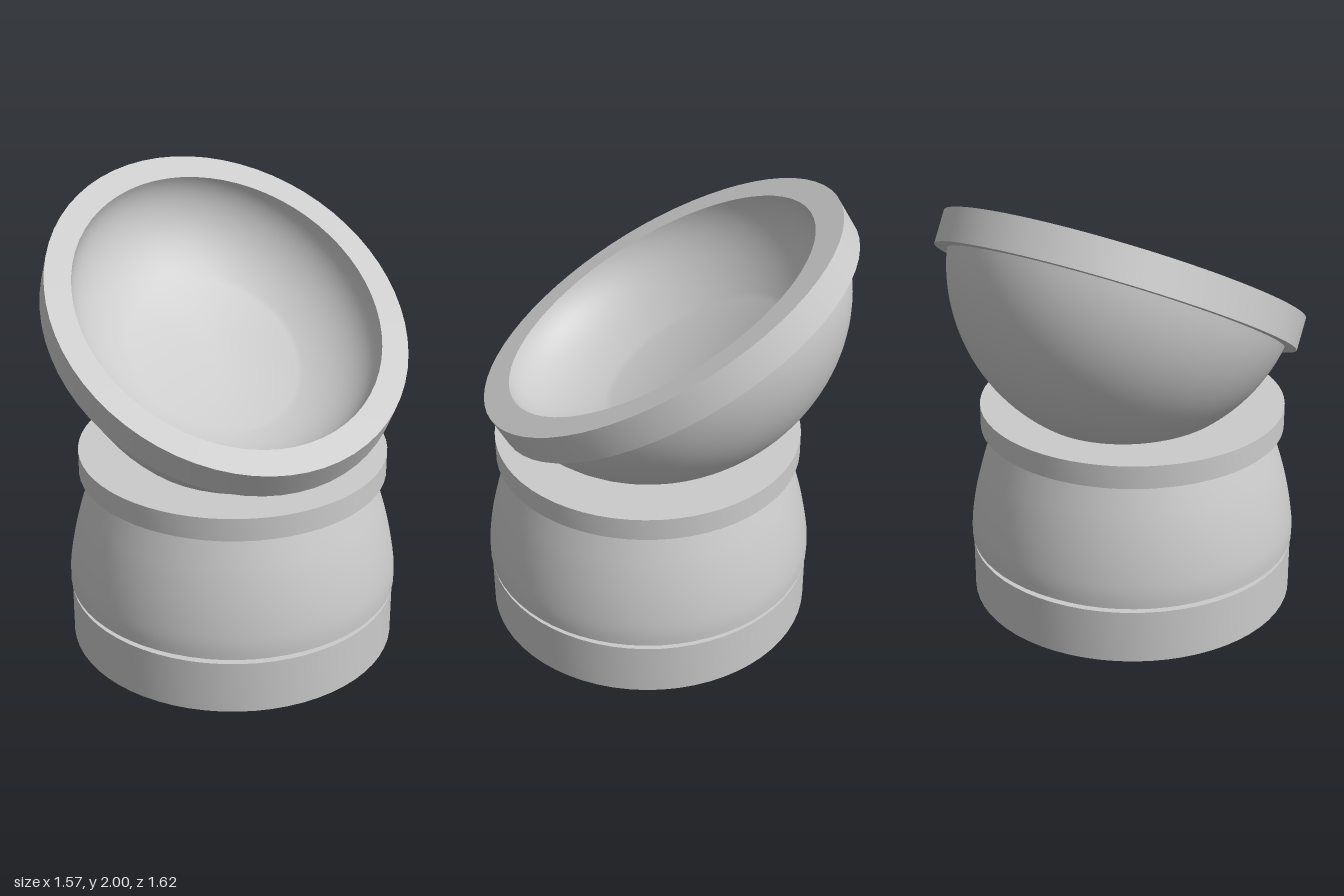
import * as THREE from 'three';
import { toCreasedNormals } from 'three/addons/utils/BufferGeometryUtils.js';

const material = new THREE.MeshStandardMaterial({ color: 0xcccccc });

// Turned part from [radius, height] points, listed bottom to top on the outside
function turned(name, points) {
  const profile = points.map(([r, y]) => new THREE.Vector2(Math.max(r, 0), y));
  const geometry = toCreasedNormals(new THREE.LatheGeometry(profile, 64), 0.6);
  const mesh = new THREE.Mesh(geometry, material);
  mesh.name = name;
  return mesh;
}

// Points on an elliptical arc below y = 0, between two depths
function arc(radius, depth, from, to, steps) {
  const a0 = Math.asin(from / depth), a1 = Math.asin(to / depth);
  return Array.from({ length: steps + 1 }, (_, i) => {
    const a = a0 + (a1 - a0) * i / steps;
    return [radius * Math.cos(a), -depth * Math.sin(a)];
  });
}

export function createModel() {
  const model = new THREE.Group();
  model.name = 'tiltedBowlOnPedestal';

  // Pedestal: foot, recessed groove, bulging body and collar
  const pedestal = new THREE.Group();
  pedestal.name = 'pedestal';
  pedestal.position.z = 0.07;
  const bulge = new THREE.SplineCurve([
    [0.74, 0.27], [0.738, 0.35], [0.717, 0.48], [0.685, 0.61], [0.65, 0.72], [0.615, 0.82],
  ].map(([r, y]) => new THREE.Vector2(r, y))).getPoints(20).map((p) => [p.x, p.y]);
  pedestal.add(
    turned('foot', [[0, 0], [0.735, 0], [0.735, 0.245], [0, 0.245]]),
    turned('groove', [[0.705, 0.24], [0.705, 0.275]]),
    turned('body', [[0, 0.27], ...bulge]),
    turned('collar', [[0, 0.815], [0.685, 0.815], [0.685, 0.92], [0, 0.92]]),
  );

  // Bowl: oval, tipped toward the front, with a thick rim and flat inner floor
  const bowl = new THREE.Group();
  bowl.name = 'bowl';
  bowl.position.set(0, 1.56, 0.025);
  bowl.rotation.x = Math.PI / 6;
  bowl.scale.z = 1.125;
  bowl.add(
    turned('bowlShell', arc(0.745, 0.78, 0.78, 0.14, 28)),
    turned('rim', [[0.72, -0.147], [0.785, -0.147], [0.785, 0], [0.67, 0]]),
    turned('bowlInside', [...arc(0.67, 0.4, 0, 0.33, 20), [0, -0.33]]),
  );

  model.add(pedestal, bowl);
  return model;
}
